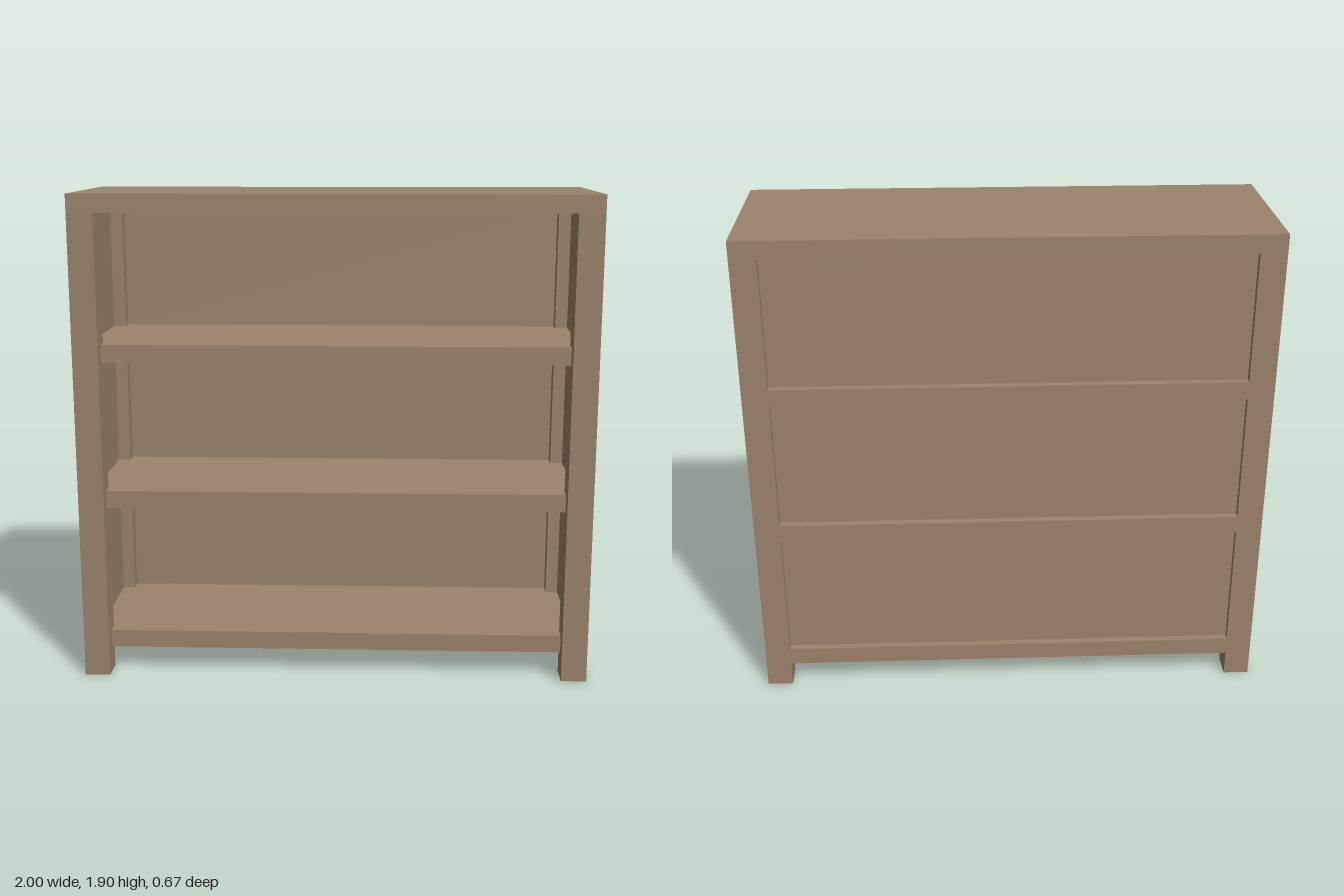
import * as THREE from 'three';

const W = 1, D = 0.333, H = 1.905;      // half width, half depth, height
const POST = 0.1, BOARD = 0.07;         // post section, board thickness
const IX = W - POST, IZ = D - POST;     // inner faces of the posts
const PANEL_IN = 0.95;                  // inner face of the side panels
const TOP = H - BOARD;                  // underside of the top
const SHELVES = [0.1, 0.68, 1.26];      // underside of each shelf

const wood = new THREE.MeshStandardMaterial({ color: 0x9c846b, flatShading: true });

function add(parent, name, geometry) {
  const mesh = new THREE.Mesh(geometry, wood);
  mesh.name = name;
  parent.add(mesh);
  return mesh;
}

// Box given by its limits on each axis
function box(parent, name, x0, x1, y0, y1, z0, z1) {
  const mesh = add(parent, name, new THREE.BoxGeometry(x1 - x0, y1 - y0, z1 - z0));
  mesh.position.set((x0 + x1) / 2, (y0 + y1) / 2, (z0 + z1) / 2);
  return mesh;
}

// Shelf notched around the four posts, set back at the front, flush at the back
function shelfGeometry() {
  const front = 0.28;
  const outline = [
    [-IX, -front], [IX, -front], [IX, -IZ], [PANEL_IN, -IZ], [PANEL_IN, IZ], [IX, IZ],
    [IX, D], [-IX, D], [-IX, IZ], [-PANEL_IN, IZ], [-PANEL_IN, -IZ], [-IX, -IZ],
  ].map(([x, y]) => new THREE.Vector2(x, y));
  const geometry = new THREE.ExtrudeGeometry(new THREE.Shape(outline), { depth: BOARD, bevelEnabled: false });
  return geometry.rotateX(-Math.PI / 2);
}

// Sunken panel facing +x: four slopes lead to a flat centre half as large
function sunkenGeometry(y0, y1, depth) {
  const cy = (y0 + y1) / 2, hy = (y1 - y0) / 2;
  const corners = [[1, -1], [-1, -1], [-1, 1], [1, 1]]; // z, y signs, seen from outside
  const ring = (x, s) => corners.map(([z, y]) => [x, cy + y * hy * s, z * IZ * s]);
  const outer = ring(W, 1), inner = ring(W - depth, 0.5);
  const positions = [];
  const quad = (a, b, c, d) => positions.push(...a, ...b, ...c, ...a, ...c, ...d);
  for (let i = 0; i < 4; i++) {
    const j = (i + 1) % 4;
    quad(outer[i], outer[j], inner[j], inner[i]);
  }
  quad(...inner);
  const geometry = new THREE.BufferGeometry();
  geometry.setAttribute('position', new THREE.Float32BufferAttribute(positions, 3));
  geometry.computeVertexNormals();
  return geometry;
}

// One side: two posts, rails and sunken panels
function createSide(name) {
  const side = new THREE.Group();
  side.name = name;
  box(side, 'frontPost', IX, W, 0, TOP, IZ, D);
  box(side, 'backPost', IX, W, 0, TOP, -D, -IZ);
  box(side, 'innerPanel', PANEL_IN, PANEL_IN + 0.01, 0.1, TOP, -IZ, IZ);
  SHELVES.forEach((y, i) => {
    box(side, 'sideRail', PANEL_IN, W, y, y + BOARD, -IZ, IZ);
    add(side, 'sunkenPanel', sunkenGeometry(y + BOARD, SHELVES[i + 1] ?? TOP, 0.03));
  });
  return side;
}

export function createModel() {
  const model = new THREE.Group();
  model.name = 'bookcase';

  box(model, 'top', -W, W, TOP, H, -D, D);

  const leftSide = createSide('leftSide');
  const rightSide = createSide('rightSide');
  rightSide.rotation.y = Math.PI;
  // Half a turn swaps front and back, so the post names swap too
  rightSide.children[0].name = 'backPost';
  rightSide.children[1].name = 'frontPost';
  model.add(leftSide, rightSide);

  // Shelves and the back panel above each of them
  const shelf = shelfGeometry();
  SHELVES.forEach((y, i) => {
    add(model, 'shelf', shelf).position.y = y;
    box(model, 'backPanel', -IX, IX, y + BOARD, SHELVES[i + 1] ?? TOP, -0.305, -0.285);
  });

  return model;
}
